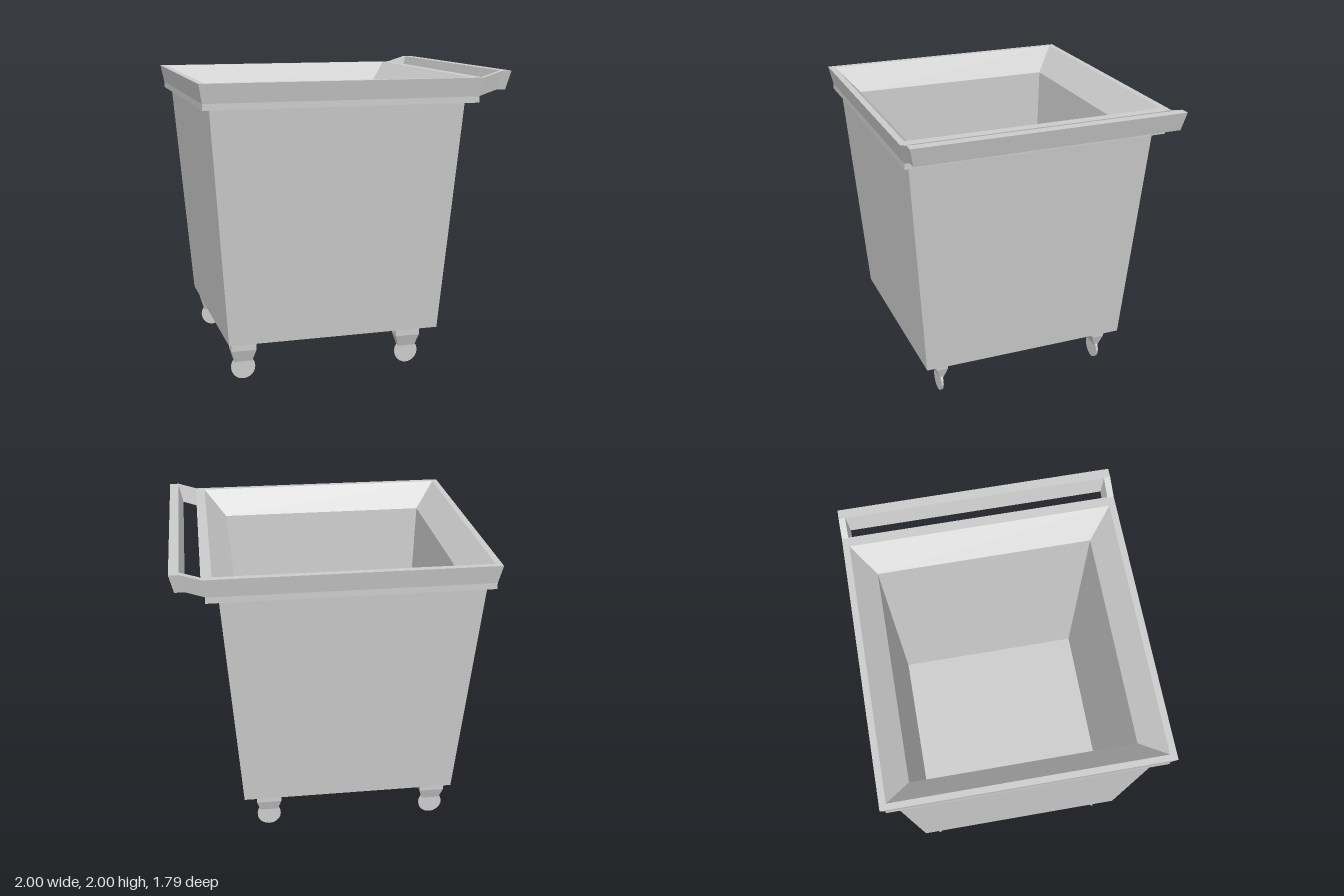
import * as THREE from 'three';

const material = new THREE.MeshStandardMaterial({ color: 0xcccccc, flatShading: true });

// Skins a series of four-cornered rings and caps both ends
function loft(rings) {
  const pos = [];
  const tri = (a, b, c) => {
    const area = new THREE.Vector3().subVectors(b, a).cross(new THREE.Vector3().subVectors(c, a));
    if (area.length() > 1e-8) for (const p of [a, b, c]) pos.push(p.x, p.y, p.z);
  };
  const quad = (a, b, c, d) => { tri(a, b, c); tri(a, c, d); };
  const r = rings.map(ring => ring.map(p => new THREE.Vector3(...p)));
  for (let k = 0; k < r.length - 1; k++) {
    for (let i = 0; i < 4; i++) {
      const j = (i + 1) % 4;
      quad(r[k][i], r[k][j], r[k + 1][j], r[k + 1][i]);
    }
  }
  quad(...[...r[0]].reverse());
  quad(...r[r.length - 1]);
  const geometry = new THREE.BufferGeometry();
  geometry.setAttribute('position', new THREE.Float32BufferAttribute(pos, 3));
  geometry.computeVertexNormals();
  return geometry;
}

// Horizontal rectangle at height y
const rect = (y, x0, x1, z) => [[x0, y, z], [x1, y, z], [x1, y, -z], [x0, y, -z]];

function addMesh(parent, name, geometry) {
  const mesh = new THREE.Mesh(geometry, material);
  mesh.name = name;
  parent.add(mesh);
  return mesh;
}

function createCaster(name, x, z) {
  const caster = new THREE.Group();
  caster.name = name;
  // Mounting block tapering down to the wheel
  addMesh(caster, 'fork', loft([
    rect(0.12, -0.06, 0.06, 0.013),
    rect(0.2, -0.083, 0.083, 0.041),
    rect(0.28, -0.083, 0.083, 0.041),
  ]));
  const wheel = addMesh(caster, 'wheel', new THREE.CylinderGeometry(0.08, 0.08, 0.016, 32));
  wheel.rotation.x = Math.PI / 2;
  wheel.position.y = 0.08;
  caster.position.set(x, 0, z);
  return caster;
}

export function createModel() {
  const group = new THREE.Group();
  group.name = 'wheeledBin';

  // Bin: outer wall, stepped flared rim, sloped lip, inner wall, floor
  addMesh(group, 'bin', loft([
    rect(0.275, -0.815, 0.605, 0.712),
    rect(1.8, -0.93, 0.715, 0.825),
    rect(1.8, -0.978, 0.795, 0.87),
    rect(1.84, -0.978, 0.795, 0.87),
    rect(1.96, -1, 0.815, 0.895),
    rect(1.96, -0.96, 0.75, 0.853),
    rect(1.8, -0.815, 0.605, 0.708),
    rect(0.29, -0.755, 0.54, 0.648),
  ]));

  // Push handle: two arms rising from the rim, joined by a bar
  const section = (y, h, xo, xi, side) => [
    [xo[0], y, side * 0.87], [xi[0], y, side * 0.835],
    [xi[1], y + h, side * 0.853], [xo[1], y + h, side * 0.895],
  ];
  const arm = side => [
    section(1.84, 0.12, [0.79, 0.81], [0.79, 0.81], side),
    section(1.88, 0.12, [0.91, 0.938], [0.91, 0.938], side),
    section(1.88, 0.12, [0.972, 1], [0.91, 0.938], side),
  ];
  addMesh(group, 'handle', loft([...arm(1), ...arm(-1).reverse()]));

  // Casters
  for (const [xName, x] of [['Right', -0.7], ['Left', 0.435]]) {
    for (const [zName, z] of [['front', 0.577], ['back', -0.607]]) {
      group.add(createCaster(`${zName}${xName}Caster`, x, z));
    }
  }
  return group;
}
